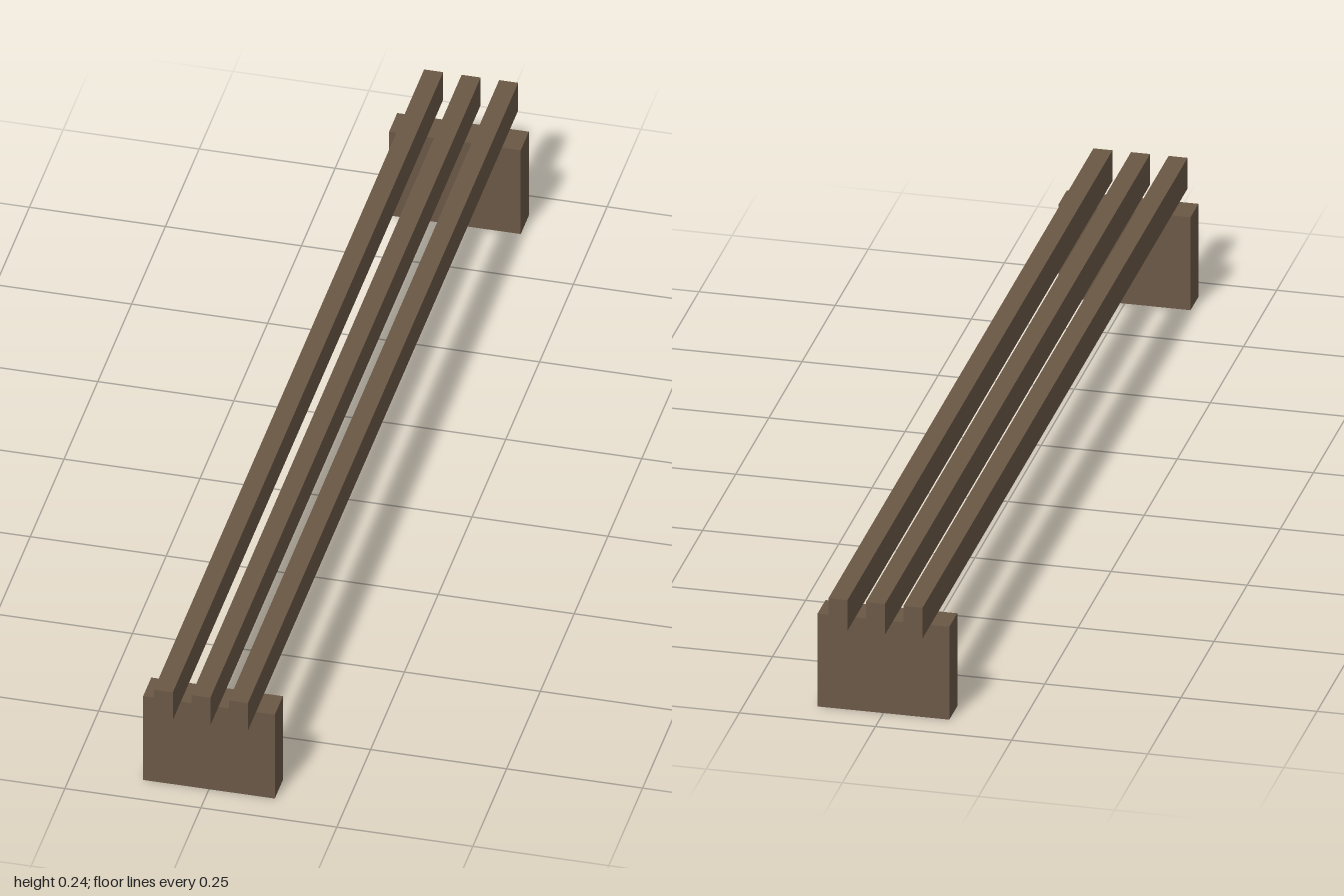
import * as THREE from 'three';

export function createModel() {
  const group = new THREE.Group();
  const wood = new THREE.MeshStandardMaterial({ color: 0x6b5846 });
  wood.name = 'brown wood';

  const legHeight = 0.182;
  const slatHeight = 0.06;

  const addBox = (name, w, h, d, x, y, z) => {
    const mesh = new THREE.Mesh(new THREE.BoxGeometry(w, h, d), wood);
    mesh.name = name;
    mesh.position.set(x, y, z);
    group.add(mesh);
  };

  // Three long seat slats
  ['rightSlat', 'middleSlat', 'leftSlat'].forEach((name, i) =>
    addBox(name, 0.035, slatHeight, 2, (i - 1) * 0.069, legHeight + slatHeight / 2, 0));

  // Slab legs near both ends
  for (const [name, side] of [['frontLeg', 1], ['backLeg', -1]]) {
    addBox(name, 0.242, legHeight, 0.06, 0, legHeight / 2, side * 0.91);
  }

  return group;
}
